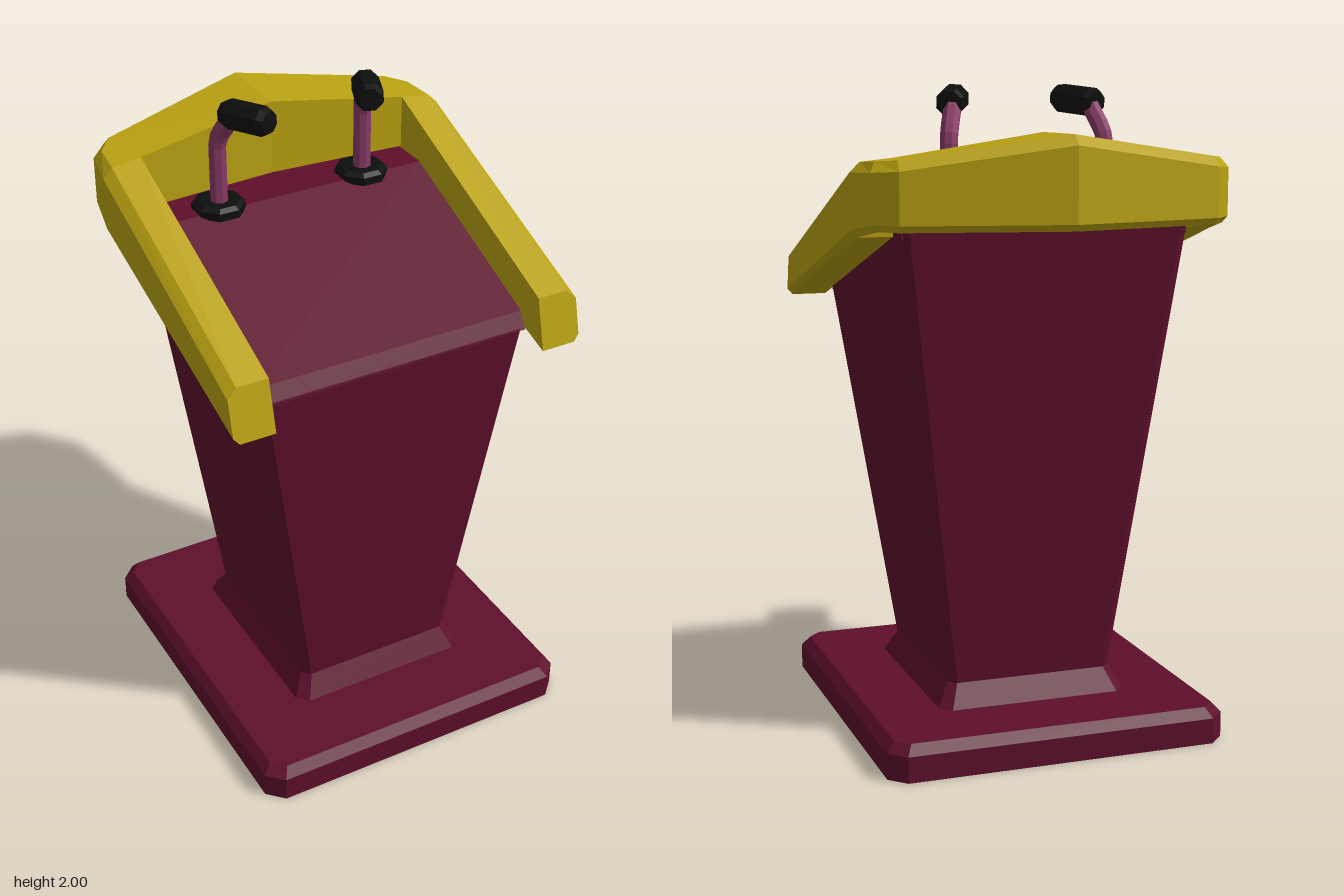
import * as THREE from 'three';

const material = (color) => new THREE.MeshStandardMaterial({ color, flatShading: true });
const WOOD = material(0x5e0f2c);
const GOLD = material(0xbaa212);
const BLACK = material(0x0d0f0d);
const STEM = material(0x8a3a66);

function mesh(name, geometry, mat) {
  const m = new THREE.Mesh(geometry, mat);
  m.name = name;
  return m;
}

// Skin a list of equal-length closed rings and cap both ends.
function loft(rings) {
  const n = rings[0].length;
  const index = [];
  for (let i = 0; i < rings.length - 1; i++) {
    for (let j = 0; j < n; j++) {
      const a = i * n + j, b = i * n + (j + 1) % n;
      index.push(a, b, b + n, a, b + n, a + n);
    }
  }
  const last = (rings.length - 1) * n;
  for (let j = 1; j < n - 1; j++) {
    index.push(0, j + 1, j, last, last + j, last + j + 1);
  }
  const g = new THREE.BufferGeometry();
  g.setAttribute('position', new THREE.Float32BufferAttribute(rings.flat(2), 3));
  g.setIndex(index);
  g.computeVertexNormals();
  return g;
}

// Rectangle with cut corners; slope tilts the ring so it rises toward the back.
function ring(y, hx, front, back, cut, slope = 0) {
  return [
    [hx, front - cut], [hx, back + cut], [hx - cut, back], [cut - hx, back],
    [-hx, back + cut], [-hx, front - cut], [cut - hx, front], [hx - cut, front],
  ].map(([x, z]) => [x, y - slope * z, z]);
}

// Cross-section of the rail between an inner and an outer plan point [x, z].
function railSection({ inner, outer, top, edge, bottom, rake = 0 }) {
  const len = Math.hypot(outer[0] - inner[0], outer[1] - inner[1]);
  const at = (inset, y) => {
    const t = 1 - inset / len;
    const z = inner[1] + (outer[1] - inner[1]) * t;
    const lean = rake * (y - bottom) / (top - bottom);
    return [inner[0] + (outer[0] - inner[0]) * t, y, z - lean];
  };
  return [
    at(len, bottom), at(len, top), at(0.03, edge),
    at(0, edge - 0.03), at(0, bottom + 0.02), at(0.018, bottom),
  ];
}

function createRail() {
  const corner = [0.45, -0.325];
  const half = [
    { inner: [0.445, 0.525], outer: [0.575, 0.525], top: 1.47, edge: 1.47, bottom: 1.31, rake: 0.04 },
    { inner: corner, outer: [0.575, -0.32], top: 1.79, edge: 1.78, bottom: 1.565 },
    { inner: corner, outer: [0.55, -0.455], top: 1.79, edge: 1.785, bottom: 1.59 },
    { inner: corner, outer: [0.487, -0.525], top: 1.79, edge: 1.79, bottom: 1.59 },
  ];
  const centre = { inner: [0, -0.355], outer: [0, -0.635], top: 1.86, edge: 1.86, bottom: 1.59 };
  const mirrored = half.map((s) => ({
    ...s, inner: [-s.inner[0], s.inner[1]], outer: [-s.outer[0], s.outer[1]],
  })).reverse();
  return mesh('rail', loft([...half, centre, ...mirrored].map(railSection)), GOLD);
}

// Sloping reading surface that levels off under the microphones.
function createDesk() {
  const profile = new THREE.Shape([
    [0.43, 1.335], [0.40, 1.385], [-0.2, 1.62], [-0.39, 1.62], [-0.39, 1.56],
  ].map(([z, y]) => new THREE.Vector2(-z, y)));
  const g = new THREE.ExtrudeGeometry(profile, { depth: 0.89, bevelEnabled: false });
  g.translate(0, 0, -0.445);
  g.rotateY(Math.PI / 2);
  return mesh('readingDesk', g, WOOD);
}

function createMicrophone(side) {
  const group = new THREE.Group();
  group.name = side > 0 ? 'leftMicrophone' : 'rightMicrophone';
  const v = (x, y, z) => new THREE.Vector3(side * x, y, z);
  const lathe = (points) =>
    new THREE.LatheGeometry(points.map((p) => new THREE.Vector2(...p)), 8);

  const foot = mesh('microphoneFoot',
    lathe([[0, 0], [0.083, 0], [0.083, 0.025], [0.068, 0.036], [0, 0.036]]), BLACK);
  foot.position.copy(v(0.247, 1.61, -0.228));
  foot.rotation.y = Math.PI / 8;

  // Upright neck with one bend toward the speaker
  const path = new THREE.CurvePath();
  const points = [v(0.247, 1.63, -0.223), v(0.247, 1.835, -0.223),
    v(0.242, 1.865, -0.213), v(0.215, 1.945, -0.165)];
  for (let i = 0; i < 3; i++) path.add(new THREE.LineCurve3(points[i], points[i + 1]));
  const neck = mesh('microphoneNeck', new THREE.TubeGeometry(path, 12, 0.028, 8), STEM);

  const start = v(0.234, 1.942, -0.19), end = v(0.166, 1.957, -0.035);
  const length = start.distanceTo(end);
  const head = mesh('microphoneHead', lathe([
    [0, 0], [0.036, 0], [0.045, 0.02], [0.045, length - 0.02], [0.034, length], [0, length],
  ]), BLACK);
  head.position.copy(start);
  head.quaternion.setFromUnitVectors(new THREE.Vector3(0, 1, 0), end.sub(start).normalize());

  group.add(foot, neck, head);
  return group;
}

export function createModel() {
  const model = new THREE.Group();
  model.name = 'lectern';
  model.add(
    mesh('base', loft([
      ring(0, 0.537, 0.632, -0.56, 0.05),
      ring(0.08, 0.537, 0.632, -0.56, 0.05),
      ring(0.11, 0.51, 0.605, -0.533, 0.04),
    ]), WOOD),
    // Flared skirt and tapered column with a raked top
    mesh('column', loft([
      ring(0.1, 0.31, 0.39, -0.315, 0.035),
      ring(0.18, 0.267, 0.342, -0.262, 0.025),
      ring(1.469, 0.45, 0.43, -0.407, 0.025, 0.3),
    ]), WOOD),
    createDesk(),
    createRail(),
    createMicrophone(1),
    createMicrophone(-1),
  );
  return model;
}
